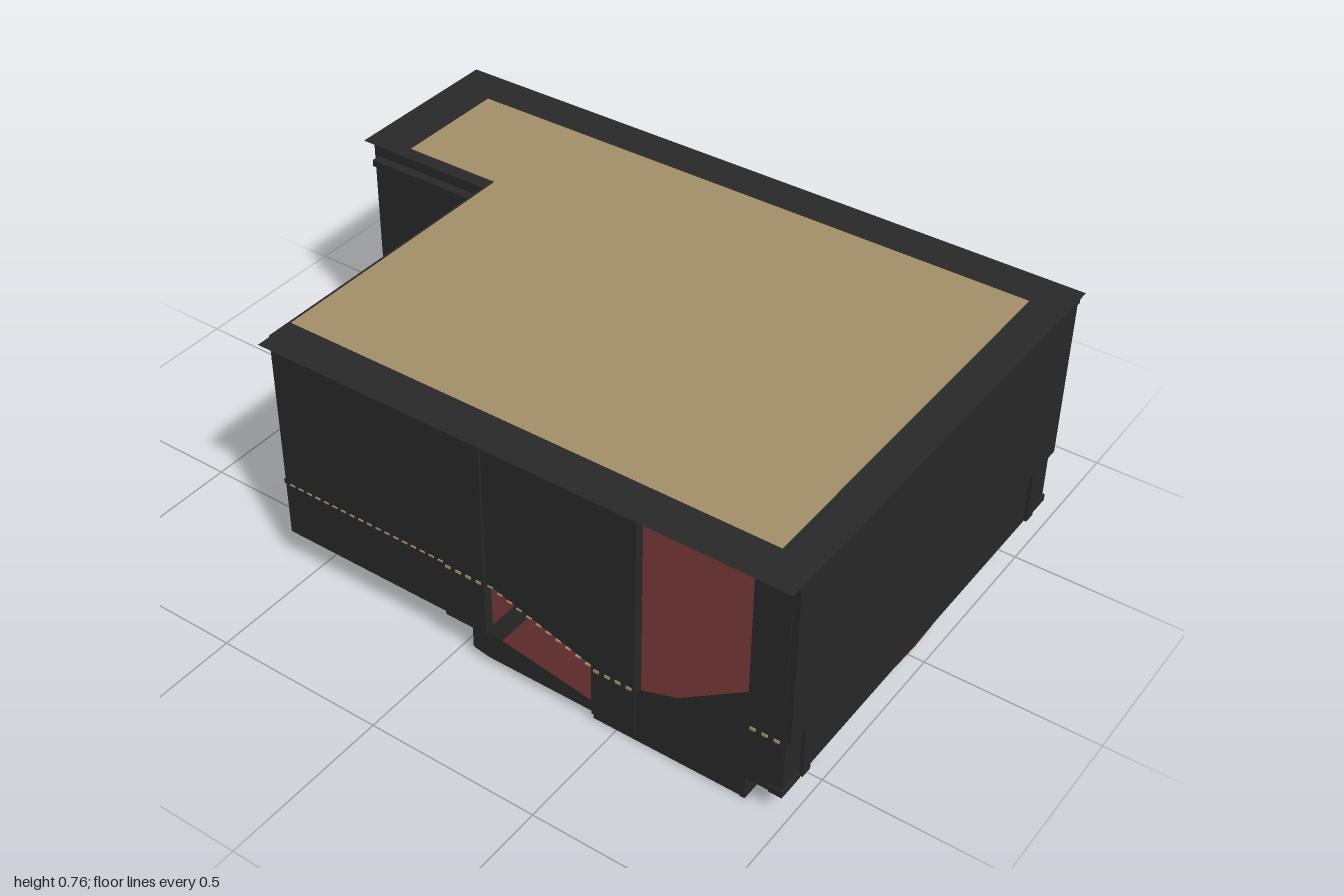
import * as THREE from 'three';

export function createModel() {
  const root = new THREE.Group();
  const mat = (name, color) => {
    const m = new THREE.MeshStandardMaterial({ color, side: THREE.DoubleSide });
    m.name = name;
    return m;
  };
  const dark = mat('charcoal', 0x292929);
  const tan = mat('tan', 0xa4906a);
  const red = mat('deep red', 0x5c2a2a);

  const add = (name, geo, m) => {
    const mesh = new THREE.Mesh(geo, m);
    mesh.name = name;
    root.add(mesh);
    return mesh;
  };
  // box from its limits on each axis
  const box = (name, m, x0, x1, y0, y1, z0, z1) =>
    add(name, new THREE.BoxGeometry(x1 - x0, y1 - y0, z1 - z0), m)
      .position.set((x0 + x1) / 2, (y0 + y1) / 2, (z0 + z1) / 2);
  const flat = (pts) => new THREE.ShapeGeometry(new THREE.Shape(pts.map(([a, b]) => new THREE.Vector2(a, b))));
  // flat sheet in the ground plan: points are (x, z)
  const sheet = (name, m, pts, y) => {
    const g = flat(pts.map(([x, z]) => [x, -z]));
    g.rotateX(-Math.PI / 2);
    add(name, g, m).position.y = y;
  };
  // flat wall along a side: points are (z, y)
  const sideWall = (name, m, pts, x) => {
    const g = flat(pts.map(([z, y]) => [-z, y]));
    g.rotateY(Math.PI / 2);
    add(name, g, m).position.x = x;
  };
  // flat plate facing the front: points are (x, y)
  const frontPlate = (name, m, pts, z) => {
    add(name, flat(pts), m).position.z = z;
  };

  // Roof: thin overhanging border with a tan field
  sheet('roofBorder', dark, [[-0.705, 1], [0.705, 1], [0.705, -1], [0.195, -1],
    [0.195, -0.565], [-0.705, -0.565]], 0.755);
  sheet('roofField', tan, [[-0.59, 0.9], [0.585, 0.9], [0.585, -0.86], [0.235, -0.86],
    [0.235, -0.56], [-0.59, -0.56]], 0.758);

  // Side walls of the hollow room; the right one is open below the rail and near the front
  sideWall('leftWall', dark, [[-0.57, 0.11], [0.05, 0.11], [0.05, 0.035], [0.1, 0.025], [0.43, 0.025],
    [0.43, 0.003], [0.88, 0.003], [0.88, 0.755], [-0.57, 0.755]], 0.66);
  sideWall('rightWall', dark, [[-0.57, 0.11], [0.08, 0.11], [0.08, 0.285], [0.1, 0.28], [0.45, 0.175],
    [0.45, 0.755], [-0.57, 0.755]], -0.66);
  sideWall('rightFloorSkirt', dark, [[0.05, 0.035], [0.1, 0.025], [0.43, 0.025], [0.43, 0.06], [0.1, 0.115], [0.05, 0.115]], -0.66);
  sideWall('rightFrontLowWall', dark, [[0.43, 0.003], [0.88, 0.003], [0.88, 0.36], [0.68, 0.22],
    [0.56, 0.18], [0.43, 0.18]], -0.66);
  box('backWall', dark, -0.66, 0.2, 0.11, 0.755, -0.57, -0.56);
  box('wing', dark, 0.2, 0.66, 0.11, 0.753, -0.965, -0.57);

  // Trim on the back of the room and the wing
  box('backCornice', dark, -0.58, 0.17, 0.7, 0.72, -0.58, -0.57);
  box('wingCornice', dark, 0.172, 0.2, 0.7, 0.72, -0.95, -0.57);
  box('backRail', dark, -0.66, 0.2, 0.275, 0.287, -0.576, -0.57);
  box('wingRail', dark, 0.194, 0.2, 0.275, 0.287, -0.96, -0.57);
  for (let i = 0; i < 6; i++) {
    const x = -0.655 + i * 0.034;
    box('backRailBead', tan, x, x + 0.018, 0.278, 0.286, -0.579, -0.575);
  }

  // Front wall with wainscot and a tan screen on its inner side
  box('frontWallUpper', dark, -0.665, 0.665, 0.26, 0.755, 0.98, 0.998);
  box('frontWallLower', dark, -0.665, 0.665, 0.08, 0.26, 0.97, 0.984);
  box('frontCornice', dark, -0.675, 0.675, 0.742, 0.754, 0.975, 0.999);
  box('screen', tan, -0.476, 0.476, 0.27, 0.65, 0.973, 0.98);

  // Floors stepping down towards the front, carpeted in red
  box('rearFloor', dark, -0.66, 0.66, 0.11, 0.12, -0.57, 0.1);
  box('floorStep', dark, -0.655, 0.655, 0.035, 0.11, 0.05, 0.1);
  box('middleFloor', dark, -0.66, 0.66, 0.025, 0.035, 0.1, 0.44);
  sheet('rearCarpet', red, [[-0.655, 0.1], [0.655, 0.1], [0.655, -0.56], [-0.655, -0.56]], 0.122);
  sheet('middleCarpet', red, [[-0.655, 0.43], [0.655, 0.43], [0.655, 0.1], [-0.655, 0.1]], 0.038);

  // Front floor: a straight lower tier and a bowed tier jutting out above it
  box('lowerTier', red, -0.655, 0.655, 0, 0.04, 0.43, 0.875);
  const bow = new THREE.Shape();
  bow.moveTo(-0.55, -0.7);
  bow.lineTo(0.55, -0.7);
  bow.lineTo(0.55, -0.88);
  bow.quadraticCurveTo(0, -1.06, -0.55, -0.88);
  const bowGeo = new THREE.ExtrudeGeometry(bow, { depth: 0.038, bevelEnabled: false, curveSegments: 12 });
  bowGeo.rotateX(-Math.PI / 2);
  add('bowedTier', bowGeo, red).position.y = 0.041;

  for (const s of [-1, 1]) {
    const a = (u, v) => (s > 0 ? [u, v] : [-v, -u]);
    const mirror = (pts) => pts.map(([x, y]) => [s * x, y]);
    // Dark cheeks and wedges framing the tiers
    box('frontCheek', dark, ...a(0.55, 0.66), 0, 0.08, 0.865, 0.88);
    box('cornerSoffit', dark, ...a(0.55, 0.66), 0.076, 0.082, 0.875, 0.975);
    frontPlate('cheekWedge', dark, mirror([[0.54, 0], [0.47, 0.08], [0.47, 0]]), 0.925);
    frontPlate('archWedge', dark, mirror([[0.47, 0], [0.47, 0.08], [0.38, 0.08], [0.31, 0.04], [0.38, 0.04]]), 0.945);

    // Pilasters along the side walls, each with a cap
    for (const [z0, z1, y0] of [[0.43, 0.56, 0.025], [-0.03, 0.1, 0.11], [0.88, 0.98, 0.08]]) {
      box('pilaster', dark, ...a(0.64, 0.668), y0, 0.74, z0, z1);
      box('pilasterCap', dark, ...a(0.64, 0.674), 0.735, 0.752, z0 - 0.003, z1 + 0.003);
    }
    box('frontPilaster', dark, ...a(0.555, 0.59), 0.085, 0.255, 0.975, 0.994);
    box('frontCornerBase', dark, ...a(0.59, 0.672), 0.08, 0.1, 0.95, 0.988);

    // Beaded chair rail: z0, y0, z1, y1, distance from the middle, bead half height
    const rail = [[0.98, 0.255, 0.88, 0.255, 0.668, 0.004], [0.56, 0.18, 0.43, 0.18, 0.668, 0.004],
      [0.43, 0.175, 0.1, 0.28, 0.66, 0.002], [0.1, 0.28, -0.03, 0.28, 0.668, 0.004],
      [-0.03, 0.28, s > 0 ? -0.96 : -0.56, 0.28, 0.66, 0.002]];
    if (s > 0) rail.push([0.87, 0.18, 0.56, 0.18, 0.66, 0.003]);
    for (const [z0, y0, z1, y1, x, h] of rail) {
      const n = Math.round((z0 - z1) / 0.03);
      for (let i = 0; i < n; i++) {
        const t = (i + 0.5) / n;
        const z = z0 + (z1 - z0) * t, y = y0 + (y1 - y0) * t;
        box('railBead', tan, ...a(x - 0.003, x + 0.003), y - h, y + h, z - 0.008, z + 0.008);
      }
    }
  }

  // Panelled door on the end of the wing
  const frame = (name, x0, x1, y0, y1, w, z) => {
    box(name, dark, x0, x0 + w, y0, y1, z, -0.965);
    box(name, dark, x1 - w, x1, y0, y1, z, -0.965);
    box(name, dark, x0, x1, y1 - w, y1, z, -0.965);
  };
  frame('doorFrame', 0.27, 0.6, 0.11, 0.7, 0.03, -0.972);
  for (const [y0, y1] of [[0.15, 0.27], [0.33, 0.64]]) {
    frame('doorPanelTrim', 0.34, 0.53, y0, y1, 0.01, -0.97);
    box('doorPanel', dark, 0.37, 0.5, y0 + 0.02, y1 - 0.03, -0.969, -0.965);
  }
  const knob = add('doorKnob', new THREE.SphereGeometry(0.007, 10, 8), dark);
  knob.position.set(0.555, 0.34, -0.967);

  return root;
}
